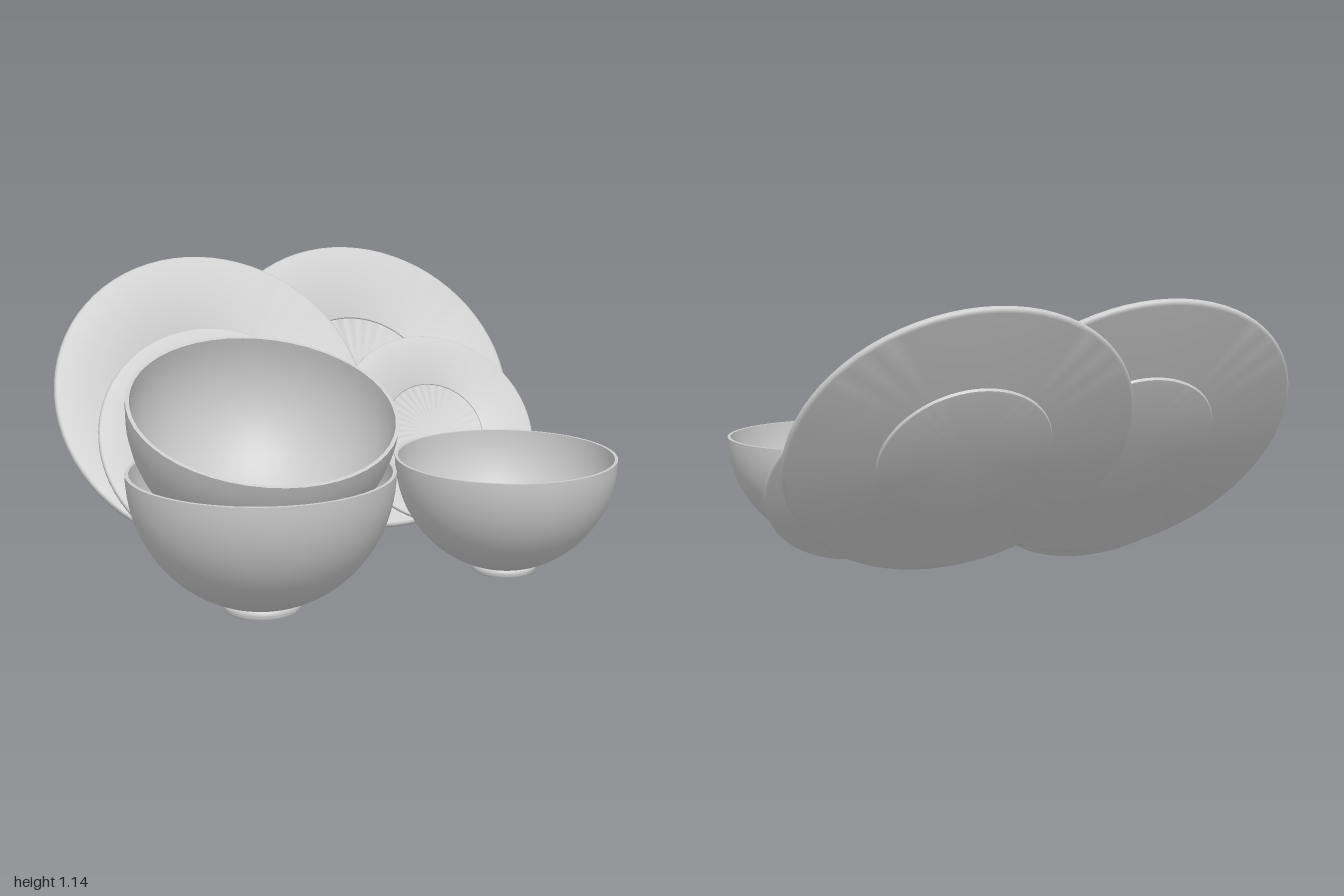
import * as THREE from 'three';
import { toCreasedNormals } from 'three/addons/utils/BufferGeometryUtils.js';

const material = new THREE.MeshStandardMaterial({ color: 0xcccccc, side: THREE.DoubleSide });

function lathe(points, segments) {
  const profile = points.map(([r, y]) => new THREE.Vector2(r, y));
  return toCreasedNormals(new THREE.LatheGeometry(profile, segments), 0.6);
}

// Bowl: foot ring, round outside wall, thin lip, round inside wall
function bowlGeometry() {
  const points = [[0, 0.012], [0.122, 0.012], [0.128, 0.002], [0.134, 0], [0.14, 0.002], [0.146, 0.012], [0.147, 0.02], [0.145, 0.03], [0.14, 0.036]];
  const rim = 0.53, steps = 18;
  const arc = (radius, depth, from, to) => {
    for (let i = 0; i <= steps; i++) {
      const a = from + (to - from) * i / steps;
      points.push([radius * Math.sin(a), rim - depth * Math.cos(a)]);
    }
  };
  arc(0.495, 0.515, 0.3, Math.PI / 2);
  arc(0.481, 0.497, Math.PI / 2, 0);
  points[points.length - 1][0] = 0;
  return lathe(points, 48);
}

// Plate of radius 1: raised foot below, sloping flange, rounded rim, sunken well
function plateGeometry() {
  const points = [[0, -0.096], [0.485, -0.096], [0.496, -0.093], [0.5, -0.084], [0.502, -0.078]];
  for (let i = 0; i <= 8; i++) {
    const a = -Math.PI / 2 + Math.PI * i / 8;
    points.push([0.977 + 0.023 * Math.cos(a), 0.023 * Math.sin(a)]);
  }
  points.push([0.505, -0.047], [0.5, -0.05], [0.497, -0.058], [0, -0.058]);
  return lathe(points, 72);
}

export function createModel() {
  const group = new THREE.Group();
  const bowl = bowlGeometry(), plate = plateGeometry();

  const add = (name, geometry, position, scale, tilt) => {
    const mesh = new THREE.Mesh(geometry, material);
    mesh.name = name;
    mesh.position.set(...position);
    mesh.scale.setScalar(scale);
    mesh.rotation.x = tilt;
    group.add(mesh);
  };

  // Two stacked bowls and a smaller single one
  add('lowerBowl', bowl, [-0.43, 0, 0.438], 1, 0);
  add('tiltedUpperBowl', bowl, [-0.43, 0.277, 0.282], 1, 0.367);
  add('smallBowl', bowl, [0.535, 0.06, 0.473], 0.853, 0);

  // Plates leaning back in parallel
  const lean = 0.941;
  add('largePlateLeft', plate, [-0.345, 0.605, -0.463], 0.655, lean);
  add('largePlateRight', plate, [0.338, 0.605, -0.538], 0.655, lean);
  add('mediumPlate', plate, [-0.348, 0.456, -0.318], 0.51, lean);
  add('smallPlate', plate, [0.567, 0.448, -0.268], 0.428, lean);

  return group;
}
